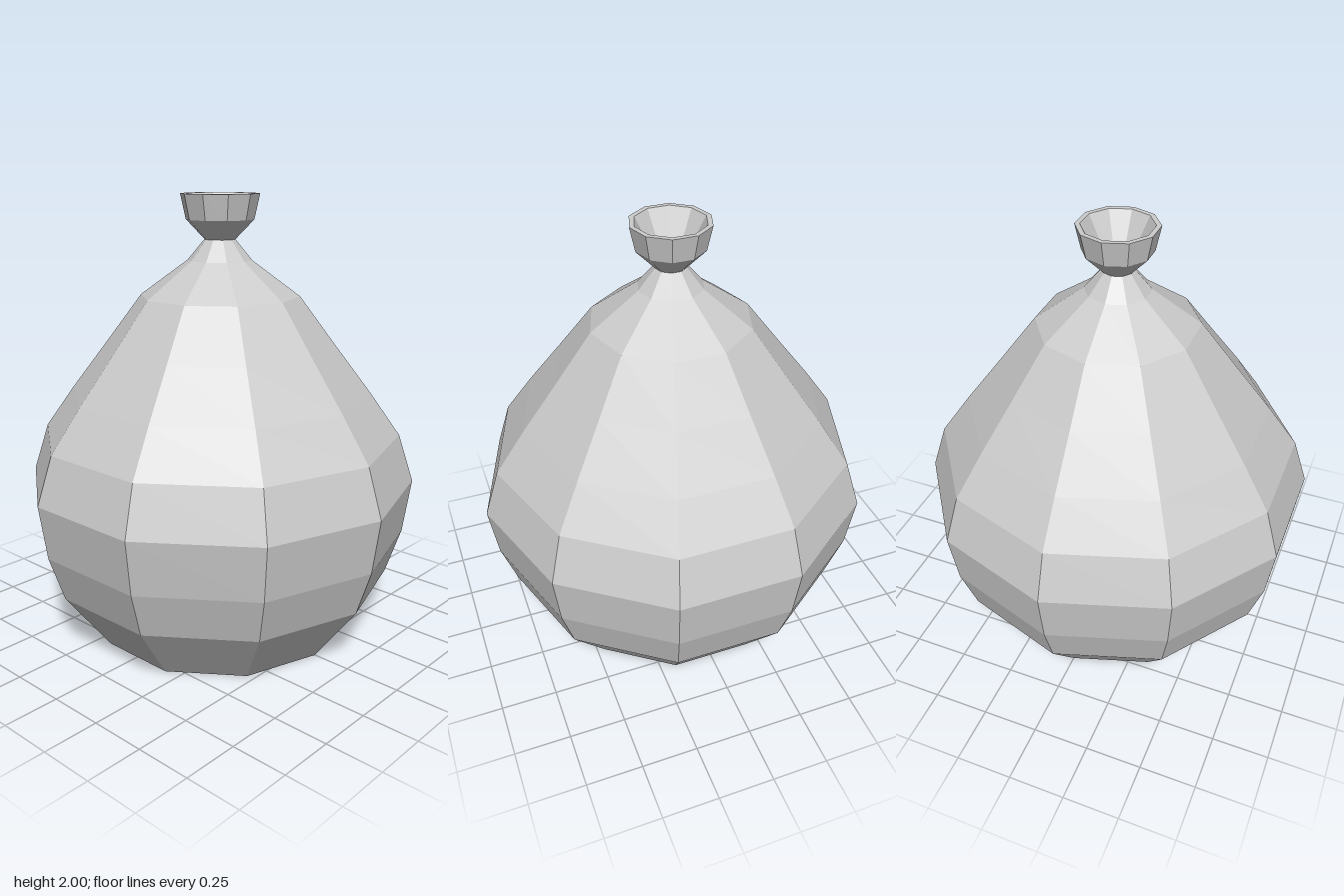
import * as THREE from 'three';

const SIDES = 10;

// Faceted ten-sided turning from [radius, height] pairs
function turned(name, profile, material) {
  const points = profile.map(([r, y]) => new THREE.Vector2(r, y));
  const geometry = new THREE.LatheGeometry(points, SIDES).toNonIndexed();
  geometry.computeVertexNormals();
  const mesh = new THREE.Mesh(geometry, material);
  mesh.name = name;
  return mesh;
}

export function createModel() {
  const group = new THREE.Group();
  group.name = 'vase';
  const material = new THREE.MeshStandardMaterial({ color: 0xcccccc, flatShading: true });

  // Flat base, bulging belly and tapering shoulder up to the narrow neck
  group.add(turned('body', [
    [0, 0], [0.575, 0], [0.782, 0.275], [0.85, 0.48], [0.885, 0.725], [0.815, 0.94],
    [0.68, 1.13], [0.52, 1.34], [0.355, 1.56], [0.143, 1.715], [0.068, 1.805],
  ], material));

  // Flared mouth: outer wall, rim, inner funnel and small stepped floor
  group.add(turned('mouth', [
    [0.068, 1.805], [0.15, 1.89], [0.174, 2], [0.152, 2],
    [0.07, 1.85], [0.052, 1.85], [0.052, 1.82], [0, 1.82],
  ], material));

  return group;
}
